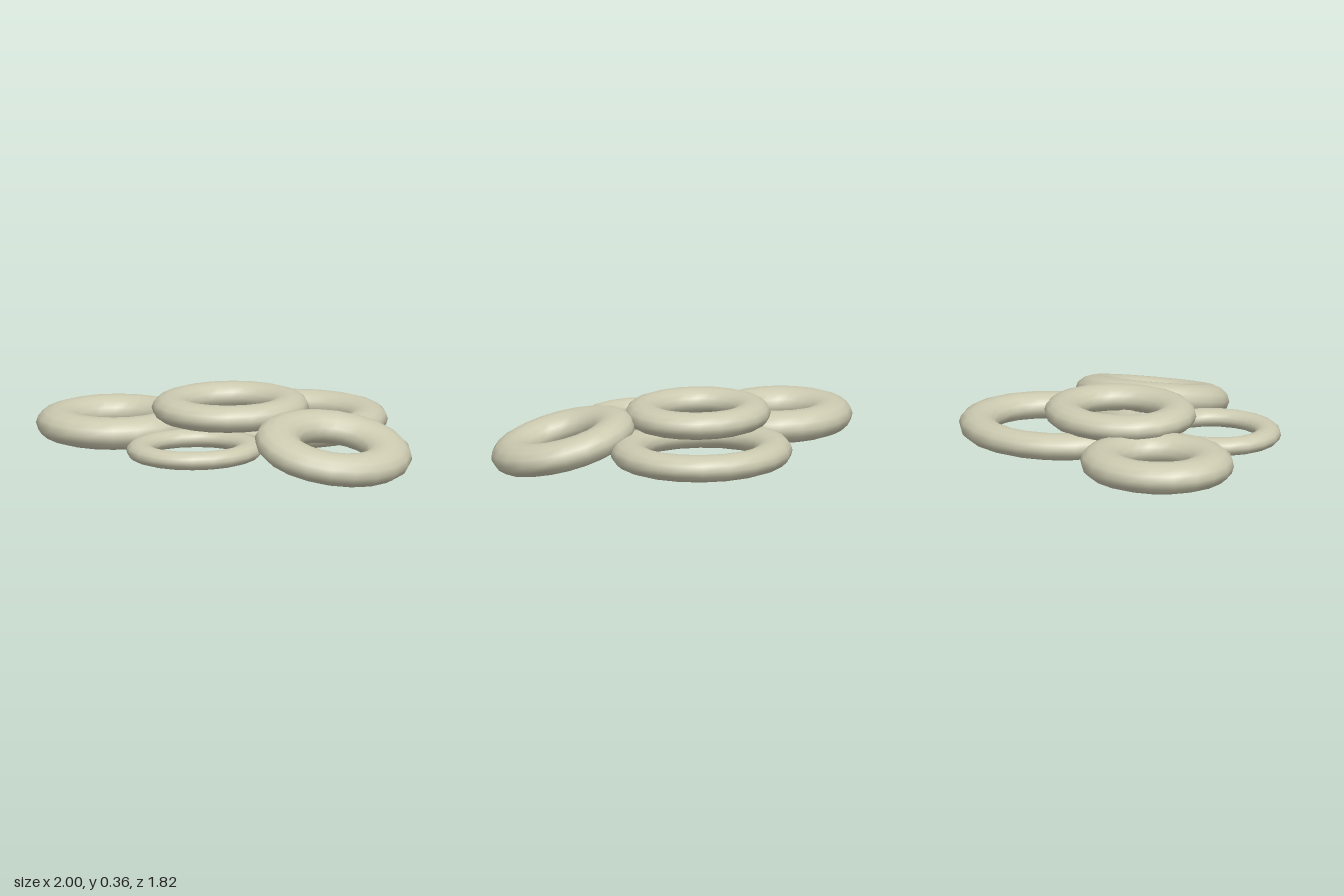
import * as THREE from 'three';

// Flattened, slightly oval rings: width (x) : thickness (y) : depth (z)
const THICKNESS = 0.68;
const DEPTH = 0.915;

export function createModel() {
  const group = new THREE.Group();
  group.name = 'ringPile';
  const material = new THREE.MeshStandardMaterial({ color: 0xcccab0 });

  // One ring lying flat, with optional tilt about x and z
  function addRing(name, radius, tube, position, tiltX = 0, tiltZ = 0) {
    const geometry = new THREE.TorusGeometry(radius, tube, 14, 20);
    geometry.rotateX(-Math.PI / 2);
    geometry.scale(1, THICKNESS, DEPTH);
    const ring = new THREE.Mesh(geometry, material);
    ring.name = name;
    ring.position.set(...position);
    ring.rotation.set(tiltX, 0, tiltZ);
    group.add(ring);
  }

  // Rings resting flat
  addRing('thickBackRing', 0.323, 0.133, [-0.543, 0.17, -0.495]);
  addRing('largeRing', 0.45, 0.112, [0.435, 0.157, -0.315]);
  addRing('thinRing', 0.315, 0.076, [-0.305, 0.153, 0.232]);

  // Ring stacked on top of the others
  addRing('topRing', 0.338, 0.112, [0.04, 0.285, -0.183]);

  // Ring leaning down toward the front
  addRing('leaningRing', 0.323, 0.133, [0.437, 0.167, 0.497], 0.225, -0.1);

  return group;
}
